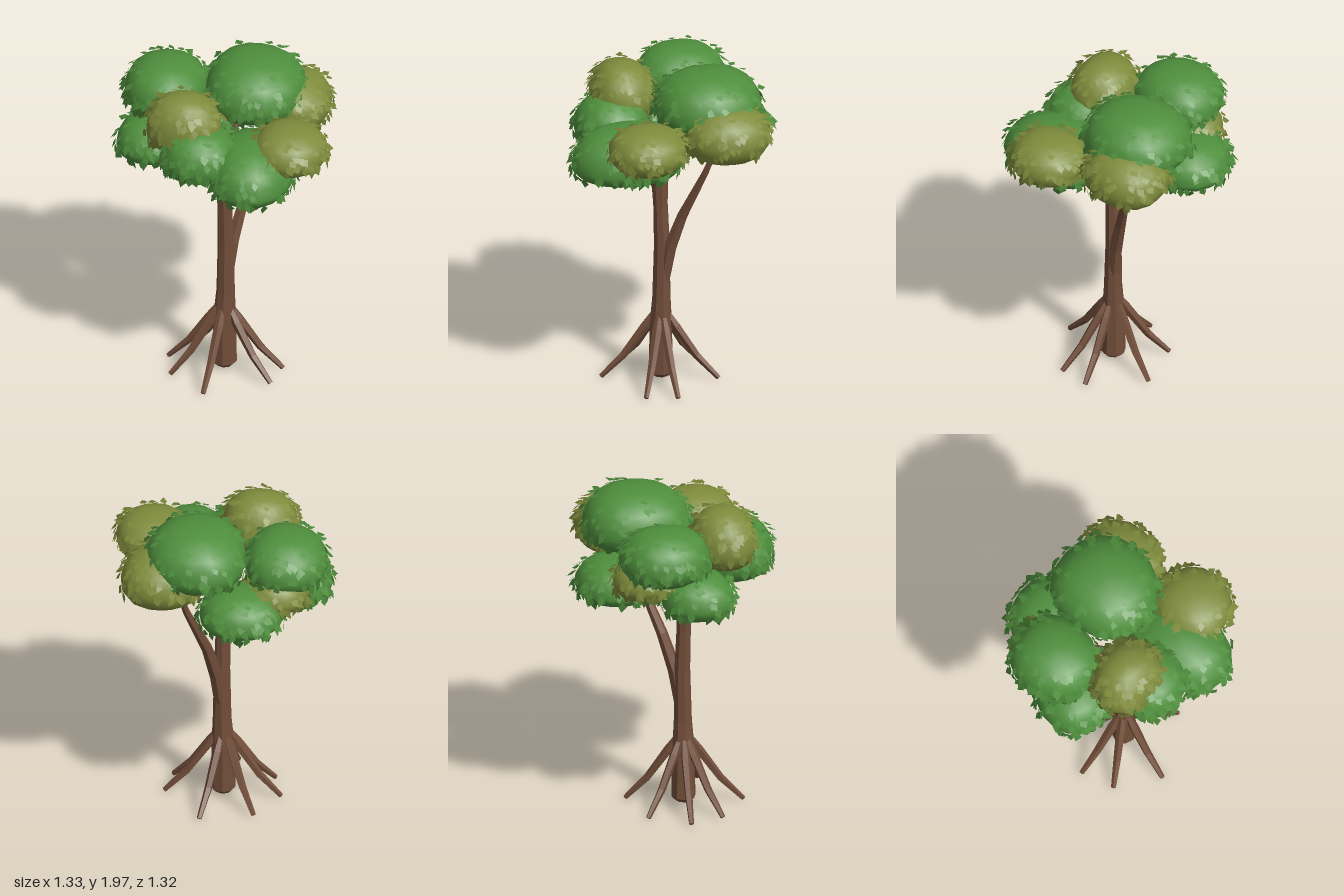
import * as THREE from 'three';
import { mergeVertices } from 'three/addons/utils/BufferGeometryUtils.js';

const bark = new THREE.MeshStandardMaterial({ color: 0x724e3a, flatShading: true });
bark.name = 'bark brown';
const green = new THREE.MeshStandardMaterial({ color: 0x4f8f3d, side: THREE.DoubleSide });
green.name = 'leaf green';
const olive = new THREE.MeshStandardMaterial({ color: 0x7f8c3c, side: THREE.DoubleSide });
olive.name = 'leaf olive';

// Small seeded random number source
function seeded(seed) {
  let s = seed * 7919 + 17;
  return () => (s = (s * 16807) % 2147483647) / 2147483647;
}

// Tapered, capped limb through a list of [x, y, z, radius]
function limb(name, stations, sides) {
  const pts = stations.map(([x, y, z]) => new THREE.Vector3(x, y, z));
  const pos = [], index = [], last = pts.length - 1;
  pts.forEach((p, i) => {
    const t = pts[Math.min(i + 1, last)].clone().sub(pts[Math.max(i - 1, 0)]).normalize();
    const u = new THREE.Vector3(0, 0, 1).addScaledVector(t, -t.z).normalize();
    const v = new THREE.Vector3().crossVectors(t, u);
    for (let j = 0; j < sides; j++) {
      const a = (j / sides) * Math.PI * 2;
      const q = p.clone()
        .addScaledVector(u, Math.cos(a) * stations[i][3])
        .addScaledVector(v, Math.sin(a) * stations[i][3]);
      pos.push(q.x, q.y, q.z);
      if (i < last) {
        const k = (j + 1) % sides, b = i * sides;
        index.push(b + j, b + k, b + sides + k, b + j, b + sides + k, b + sides + j);
      }
    }
  });
  for (let j = 1; j < sides - 1; j++) {
    const e = last * sides;
    index.push(0, j + 1, j, e, e + j, e + j + 1);
  }
  const geo = new THREE.BufferGeometry();
  geo.setAttribute('position', new THREE.Float32BufferAttribute(pos, 3));
  geo.setIndex(index);
  geo.computeVertexNormals();
  const mesh = new THREE.Mesh(geo, bark);
  mesh.name = name;
  return mesh;
}

// Foliage clump: a full dome over a shallower underside, plus loose leaf cards
function clump({ name, mat, c: [x, z], y: [bottom, top], r: [rx, rz], rim = 0.42 }, seed) {
  const group = new THREE.Group();
  group.name = name;
  const h = top - bottom, mid = h * rim;
  const place = (d) => {
    const a = Math.atan2(d.z, d.x), flat = Math.hypot(d.x, d.z);
    const wob = 1 + 0.02 * Math.sin(3 * a + seed * 2) - 0.02 * Math.cos(4 * a);
    const full = wob * Math.pow(flat, 0.78) / Math.max(flat, 1e-5);
    return new THREE.Vector3(d.x * rx * full, d.y * (d.y > 0 ? h - mid : mid), d.z * rz * full);
  };

  let dome = new THREE.SphereGeometry(1, 16, 10);
  const p = dome.attributes.position;
  for (let i = 0; i < p.count; i++) {
    const q = place(new THREE.Vector3().fromBufferAttribute(p, i));
    p.setXYZ(i, q.x, q.y, q.z);
  }
  dome.deleteAttribute('uv');
  dome.deleteAttribute('normal');
  dome = mergeVertices(dome, 1e-4);
  dome.computeVertexNormals();
  const body = new THREE.Mesh(dome, mat);
  body.name = name + 'Body';

  // Pointed leaves lie on the dome and hang as a fringe below the rim
  const rand = seeded(seed + 1), pos = [], nor = [], index = [];
  for (let i = 0; i < 130; i++) {
    const a = rand() * Math.PI * 2, s = -0.3 + 1.2 * Math.pow(rand(), 1.1), f = Math.sqrt(1 - s * s);
    const d = new THREE.Vector3(Math.cos(a) * f, s, Math.sin(a) * f);
    const base = place(d);
    const n = new THREE.Vector3(d.x / rx, d.y / (d.y > 0 ? h - mid : mid), d.z / rz).normalize();
    const side = new THREE.Vector3(-Math.sin(a), 0, Math.cos(a));
    const along = new THREE.Vector3().crossVectors(side, n).normalize();
    if (along.y > 0) along.negate();
    along.applyAxisAngle(n, (rand() - 0.5) * 1.4).addScaledVector(n, 0.1 + rand() * 0.4).normalize();
    const across = new THREE.Vector3().crossVectors(n, along).normalize();
    const len = 0.045 + rand() * 0.025, w = 0.018 + rand() * 0.009, k = pos.length / 3;
    base.addScaledVector(n, 0.001);
    [[0, -w * 0.5], [0.5, -w], [1, 0], [0.4, w]].forEach(([l, o]) => {
      const q = base.clone().addScaledVector(along, l * len).addScaledVector(across, o);
      pos.push(q.x, q.y, q.z);
      nor.push(n.x, n.y, n.z);
    });
    index.push(k, k + 1, k + 2, k, k + 2, k + 3);
  }
  const cards = new THREE.BufferGeometry();
  cards.setAttribute('position', new THREE.Float32BufferAttribute(pos, 3));
  cards.setAttribute('normal', new THREE.Float32BufferAttribute(nor, 3));
  cards.setIndex(index);
  const leaves = new THREE.Mesh(cards, mat);
  leaves.name = name + 'Leaves';

  group.add(body, leaves);
  group.position.set(x, bottom + mid, z);
  return group;
}

export function createModel() {
  const tree = new THREE.Group();
  tree.name = 'tree';

  // Trunk and main branches
  const wood = new THREE.Group();
  wood.name = 'wood';
  wood.add(
    limb('trunk', [
      [0.002, 0.018, 0.05, 0.045], [0.002, 0.045, 0.05, 0.072], [0.003, 0.35, 0.05, 0.066],
      [0.008, 0.52, 0.048, 0.054], [0.008, 0.85, 0.045, 0.047], [0.003, 1.1, 0.052, 0.043],
      [-0.004, 1.26, 0.055, 0.05], [0, 1.42, 0.06, 0.036],
    ], 8),
    limb('sideBranch', [
      [0.015, 0.6, 0.04, 0.036], [0.04, 0.83, 0.008, 0.041], [0.09, 1.05, -0.055, 0.033],
      [0.2, 1.36, -0.165, 0.021], [0.26, 1.6, -0.24, 0.012],
    ], 6),
    limb('forkFront', [[0, 1.2, 0.06, 0.036], [-0.035, 1.35, 0.13, 0.029], [-0.1, 1.58, 0.26, 0.014]], 6),
    limb('forkLeft', [[0, 1.2, 0.05, 0.034], [0.055, 1.36, 0.12, 0.026], [0.16, 1.5, 0.22, 0.014]], 6),
    limb('forkBack', [[0, 1.2, 0.05, 0.036], [-0.04, 1.38, -0.005, 0.03], [-0.2, 1.56, -0.2, 0.014]], 6),
    limb('forkTop', [[0, 1.3, 0.05, 0.034], [0.03, 1.5, 0.02, 0.026], [0.08, 1.72, -0.08, 0.012]], 6),
  );

  // Roots splayed around the base
  const roots = [
    [0.3, 0.21], [0.34, 0.03], [0.12, -0.265], [-0.19, -0.21],
    [-0.335, 0.01], [-0.29, 0.21], [-0.065, 0.39],
  ];
  roots.forEach(([x, z], i) => {
    const at = (f, y, r) => [x * f, y, 0.05 + (z - 0.05) * f, r];
    wood.add(limb('root' + (i + 1), [
      at(0.12, 0.41, 0.018), at(0.26, 0.33, 0.028), at(0.62, 0.15, 0.023), at(1, 0.015, 0.015),
    ], 5));
  });
  tree.add(wood);

  // Crown
  const clumps = [
    { name: 'crownTop', mat: green, c: [0.14, -0.2], y: [1.6, 1.975], r: [0.3, 0.32] },
    { name: 'crownRight', mat: green, c: [-0.375, -0.16], y: [1.59, 1.92], r: [0.245, 0.27] },
    { name: 'oliveFrontRight', mat: olive, c: [-0.2, 0.235], y: [1.57, 1.935], r: [0.225, 0.19] },
    { name: 'oliveLeft', mat: olive, c: [0.415, 0.23], y: [1.505, 1.78], r: [0.22, 0.23], rim: 0.46 },
    { name: 'oliveBackLeft', mat: olive, c: [0.335, -0.26], y: [1.5, 1.835], r: [0.245, 0.255], rim: 0.46 },
    { name: 'oliveBackRight', mat: olive, c: [-0.33, -0.26], y: [1.49, 1.73], r: [0.19, 0.2] },
    { name: 'lowerFront', mat: green, c: [-0.1, 0.315], y: [1.45, 1.775], r: [0.22, 0.225] },
    { name: 'lowerFrontLeft', mat: green, c: [0.205, 0.3], y: [1.375, 1.71], r: [0.255, 0.33], rim: 0.34 },
    { name: 'lowerBack', mat: green, c: [-0.13, -0.39], y: [1.405, 1.67], r: [0.25, 0.235], rim: 0.36 },
    { name: 'lowerRight', mat: green, c: [-0.41, 0.025], y: [1.375, 1.65], r: [0.23, 0.215], rim: 0.38 },
  ];
  clumps.forEach((spec, i) => tree.add(clump(spec, i + 1)));
  return tree;
}
